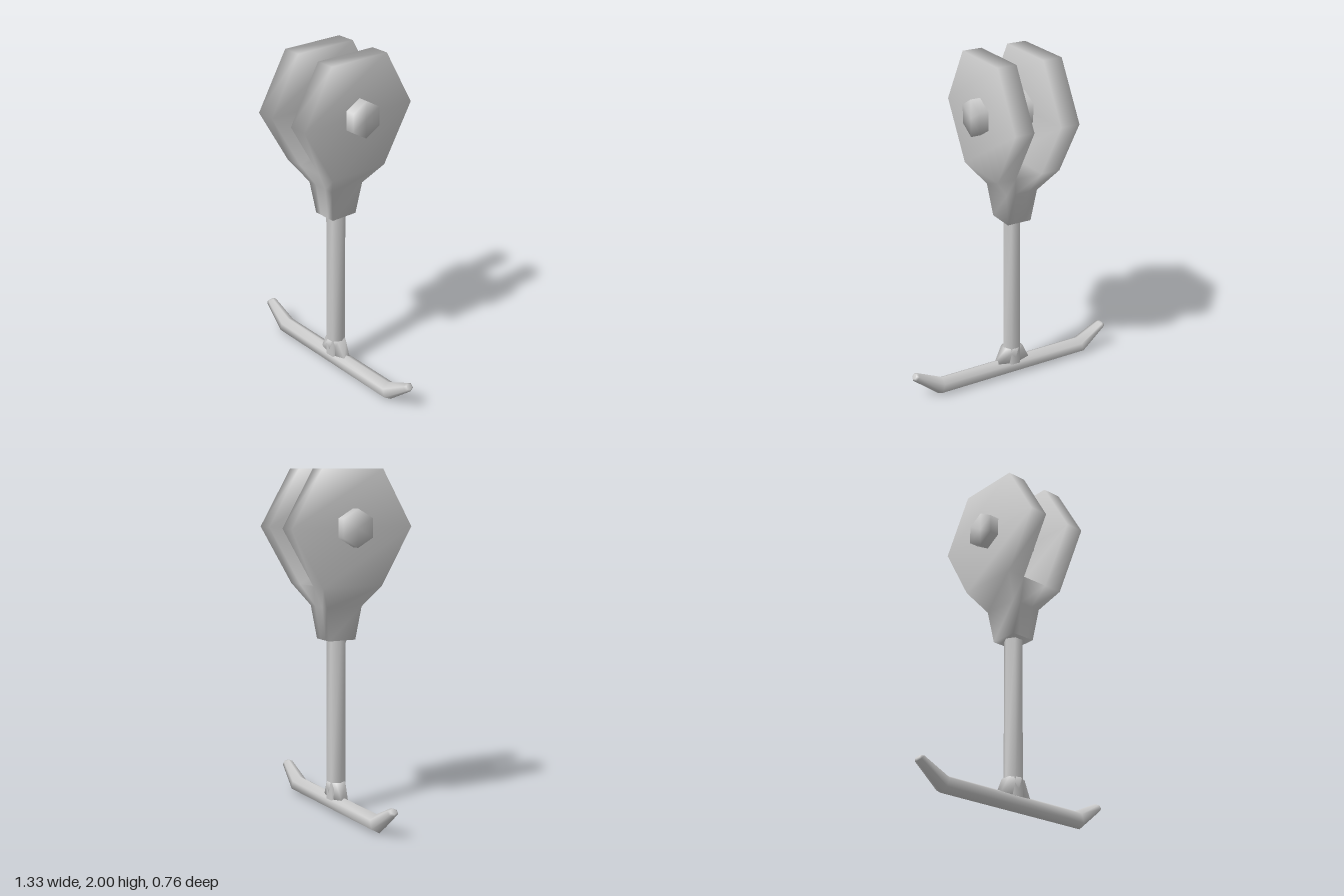
import * as THREE from 'three';
import { mergeGeometries, mergeVertices } from 'three/addons/utils/BufferGeometryUtils.js';

const material = new THREE.MeshStandardMaterial({ color: 0xcccccc });

// Skin a list of equal-length point rings (counter-clockwise about the advance direction)
function loft(rings, capStart = true, capEnd = true) {
  const pos = [];
  const tri = (...pts) => pts.forEach((p) => pos.push(...p));
  const n = rings[0].length;
  for (let i = 0; i + 1 < rings.length; i++) {
    const a = rings[i], b = rings[i + 1];
    for (let j = 0; j < n; j++) {
      const k = (j + 1) % n;
      tri(a[j], a[k], b[k]);
      tri(a[j], b[k], b[j]);
    }
  }
  const first = rings[0], last = rings[rings.length - 1];
  for (let j = 1; j + 1 < n; j++) {
    if (capStart) tri(first[0], first[j + 1], first[j]);
    if (capEnd) tri(last[0], last[j], last[j + 1]);
  }
  const geo = new THREE.BufferGeometry();
  geo.setAttribute('position', new THREE.Float32BufferAttribute(pos, 3));
  return geo;
}

// Weld corners so the low-poly forms shade smoothly
function smooth(geo) {
  geo.deleteAttribute('normal');
  geo.deleteAttribute('uv');
  const welded = mergeVertices(geo, 1e-4);
  welded.computeVertexNormals();
  return welded;
}

function add(group, name, geo) {
  const mesh = new THREE.Mesh(smooth(geo), material);
  mesh.name = name;
  group.add(mesh);
  return mesh;
}

// Rectangular ring at height y between x0 and x1
const rect = (y, x0, x1, z) => [[x0, y, z], [x1, y, z], [x1, y, -z], [x0, y, -z]];

// Rectangular ring with extra points where the fork splits
const splitRect = (y, a, b, z) => [
  ...[-a, -b, b, a].map((x) => [x, y, z]),
  ...[a, b, -b, -a].map((x) => [x, y, -z]),
];

// Fork head: tapering neck, two hexagonal cheeks and the floor of the slot
function forkGeometry() {
  const inner = 0.083, outer = 0.2, base = 1.345;
  const neck = loft([
    splitRect(1.027, 0.075, 0.031, 0.085),
    splitRect(1.22, 0.1, 0.042, 0.112),
    splitRect(base, outer, inner, 0.188),
  ], true, false);
  const cheek = (x0, x1) => loft([
    rect(base, x0, x1, 0.188),
    rect(1.675, x0, x1, 0.38),
    rect(2, x0, x1, 0.192),
  ], false, true);
  const floor = loft([rect(base, -inner, inner, 0.188)], false, true);
  return mergeGeometries([neck, cheek(-outer, -inner), cheek(inner, outer), floor]);
}

// Crossbar: six-sided tube with raised, tapered ends
function barGeometry() {
  // x, y, radius, half depth, tilt of the section
  const half = [
    [0.487, 0.054, 0.053, 0.046, 0.28],
    [0.645, 0.158, 0.027, 0.029, 0.75],
    [0.654, 0.165, 0.018, 0.019, 0.75],
  ];
  const stations = [...half.map(([x, y, r, d, t]) => [-x, y, r, d, -t]).reverse(), ...half];
  return loft(stations.map(([x, y, r, d, tilt]) =>
    Array.from({ length: 6 }, (_, i) => {
      const a = (i * Math.PI) / 3;
      const u = Math.cos(a) * r;
      return [x - Math.sin(tilt) * u, y + Math.cos(tilt) * u, (Math.sin(a) * d) / Math.sin(Math.PI / 3)];
    })));
}

// Collar: hexagonal saddle spreading along the bar
function collarGeometry() {
  const hex = (y, x, z) => Array.from({ length: 6 }, (_, i) => {
    const a = (i * Math.PI) / 3;
    return [(Math.sin(a) * x) / Math.sin(Math.PI / 3), y, Math.cos(a) * z];
  });
  return loft([hex(0.085, 0.108, 0.042), hex(0.187, 0.057, 0.06)]);
}

export function createModel() {
  const group = new THREE.Group();
  group.name = 'forkedHandle';

  add(group, 'forkHead', forkGeometry());

  // Hexagonal pin through both cheeks
  const pin = new THREE.CylinderGeometry(0.108, 0.108, 0.516, 6);
  pin.rotateY(Math.PI / 2).rotateZ(Math.PI / 2);
  add(group, 'crossPin', pin).position.y = 1.675;

  // Hexagonal shaft with corners towards the sides
  const shaft = new THREE.CylinderGeometry(0.056, 0.056, 0.96, 6, 1, true);
  shaft.rotateY(Math.PI / 2);
  add(group, 'shaft', shaft).position.y = 0.56;

  add(group, 'collar', collarGeometry());
  add(group, 'crossbar', barGeometry());
  return group;
}
